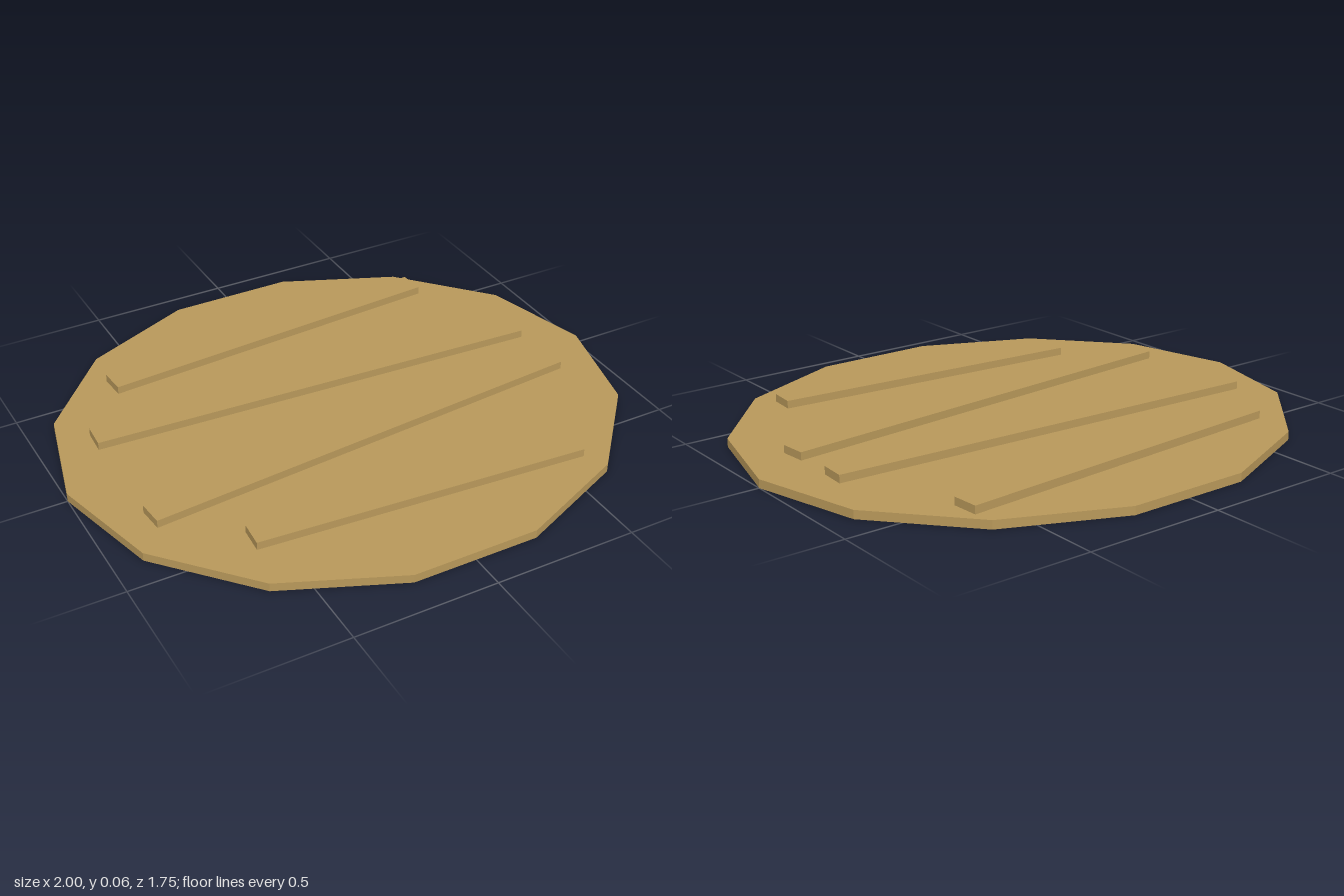
import * as THREE from 'three';

export function createModel() {
  const model = new THREE.Group();
  const wood = new THREE.MeshStandardMaterial({ color: 0xb8985a, flatShading: true });
  wood.name = 'tan wood';

  // Fourteen-sided board, squashed front to back, with a corner on each side
  const boardGeometry = new THREE.CylinderGeometry(1, 1, 0.03, 14, 1, false, Math.PI / 2);
  boardGeometry.scale(1, 1, 0.9);
  const board = new THREE.Mesh(boardGeometry, wood);
  board.name = 'board';
  board.position.y = 0.015;
  model.add(board);

  // Slats lying on the board: [z, length, turn]
  const slats = [
    [-0.547, 1.285, 0.07],
    [-0.18, 1.64, -0.052],
    [0.18, 1.64, 0.089],
    [0.54, 1.17, -0.072],
  ];
  slats.forEach(([z, length, turn], i) => {
    const slat = new THREE.Mesh(new THREE.BoxGeometry(length, 0.028, 0.094), wood);
    slat.name = `slat${i + 1}`;
    slat.position.set(0, 0.044, z);
    slat.rotation.y = turn;
    model.add(slat);
  });

  return model;
}
